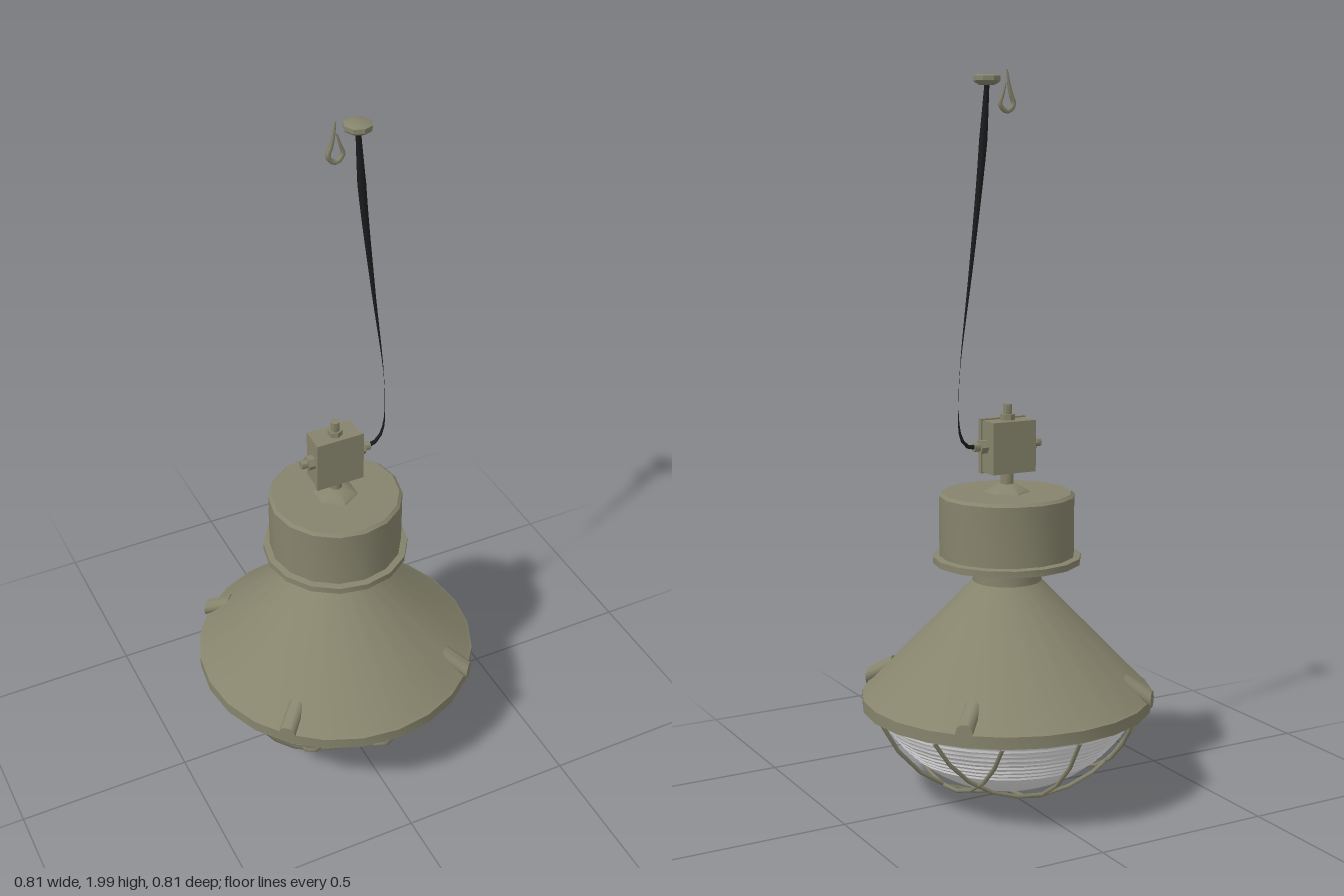
import * as THREE from 'three';
import { toCreasedNormals } from 'three/addons/utils/BufferGeometryUtils.js';

const V3 = (x, y, z) => new THREE.Vector3(x, y, z);

export function createModel() {
  const lamp = new THREE.Group();
  lamp.name = 'industrialPendantLamp';

  const mat = (name, color) => {
    const m = new THREE.MeshStandardMaterial({ color });
    m.name = name;
    return m;
  };
  const olive = mat('olivePaint', 0x86846c);
  const glass = mat('paleGlass', 0xe8e8e9);
  const black = mat('blackCable', 0x1c1c1e);

  const add = (name, geometry, material = olive, parent = lamp) => {
    const mesh = new THREE.Mesh(geometry, material);
    mesh.name = name;
    parent.add(mesh);
    return mesh;
  };
  // Turned part: profile of [radius, y] running from the bottom up
  const turned = (name, profile, sides, material = olive) =>
    add(name, toCreasedNormals(new THREE.LatheGeometry(
      profile.map(([r, y]) => new THREE.Vector2(r, y)), sides), 0.6), material);
  // Cylinder between two points
  const rod = (name, a, b, r, sides, parent = lamp) => {
    const dir = b.clone().sub(a);
    const geo = toCreasedNormals(new THREE.CylinderGeometry(r, r, dir.length(), sides), 0.9);
    const mesh = add(name, geo, olive, parent);
    mesh.position.copy(a).add(b).multiplyScalar(0.5);
    mesh.quaternion.setFromUnitVectors(V3(0, 1, 0), dir.normalize());
  };
  // Tube whose radius follows a rule along its length
  const taperedTube = (path, rings, sides, radiusAt) => {
    const tube = new THREE.TubeGeometry(path, rings, 1, sides);
    const pos = tube.attributes.position;
    const v = new THREE.Vector3();
    for (let i = 0; i < pos.count; i++) {
      const t = Math.floor(i / (sides + 1)) / rings;
      const c = path.getPointAt(t);
      v.fromBufferAttribute(pos, i).sub(c).multiplyScalar(radiusAt(t)).add(c);
      pos.setXYZ(i, v.x, v.y, v.z);
    }
    return tube;
  };

  // Conical shade with rim and neck
  turned('shade', [
    [0.36, 0.29], [0.372, 0.27], [0.405, 0.27], [0.405, 0.303], [0.396, 0.308],
    [0.095, 0.62], [0.095, 0.675],
  ], 24);

  // Ballast housing with stepped flange below
  turned('housing', [
    [0.08, 0.69], [0.115, 0.69], [0.115, 0.68], [0.145, 0.68], [0.145, 0.69],
    [0.172, 0.69], [0.172, 0.672], [0.205, 0.672], [0.205, 0.69], [0.187, 0.693],
    [0.187, 0.858], [0.178, 0.866], [0, 0.866],
  ], 16);
  turned('housingBoss', [[0.065, 0.864], [0.06, 0.87], [0.024, 0.89], [0, 0.89]], 6);
  rod('stem', V3(0, 0.88, 0), V3(0, 0.925, 0), 0.019, 8);

  // Four rounded clips over the rim, sheared to follow the slope
  const clipShape = new THREE.CylinderGeometry(0.024, 0.024, 0.075, 10);
  clipShape.rotateZ(Math.PI / 2);
  clipShape.applyMatrix4(new THREE.Matrix4().makeShear(-0.55, 0, 0, 0, 0, 0));
  clipShape.translate(0.374, 0.331, 0);
  const clipGeometry = toCreasedNormals(clipShape, 0.9);
  for (let i = 0; i < 4; i++) {
    add('rimClip', clipGeometry).rotation.y = Math.PI / 4 + i * Math.PI / 2;
  }

  // Glass bowl: a spherical cap with fine ribs on its upper half
  const cy = 0.4325, R = 0.4;
  const bowl = [];
  for (let i = 0; i <= 6; i++) {
    const y = cy - R + 0.0975 * (i / 6) ** 2;
    bowl.push([Math.sqrt(Math.max(0, R * R - (cy - y) ** 2)), y]);
  }
  for (let i = 0; i < 10; i++) {
    const y = 0.134 + i * 0.0148;
    const r = Math.sqrt(R * R - (cy - y) ** 2);
    bowl.push([r, y], [r + 0.005, y + 0.004], [r + 0.006, y + 0.01]);
  }
  turned('glassBowl', bowl, 32, glass);

  // Guard cage: three bars each way, bent over a slightly larger sphere
  const cage = new THREE.Group();
  cage.name = 'guardCage';
  lamp.add(cage);
  const RC = 0.421, rimRadius = 0.386;
  for (const offset of [-0.2, 0, 0.2]) {
    const half = Math.sqrt(rimRadius ** 2 - offset ** 2);
    for (const along of ['x', 'z']) {
      const pts = [];
      for (let i = 0; i <= 8; i++) {
        const u = half * Math.sin((i / 4 - 1) * Math.PI / 2);
        const y = cy - Math.sqrt(RC * RC - offset * offset - u * u);
        pts.push(along === 'x' ? V3(u, y, offset) : V3(offset, y, u));
      }
      add('cageBar', new THREE.TubeGeometry(
        new THREE.CatmullRomCurve3(pts), 10, 0.006, 5), olive, cage);
    }
  }

  // Junction box with cover and glands
  const box = new THREE.Group();
  box.name = 'junctionBox';
  lamp.add(box);
  add('boxBody', new THREE.BoxGeometry(0.132, 0.142, 0.066), olive, box).position.set(0, 0.995, -0.01);
  add('boxCover', new THREE.BoxGeometry(0.14, 0.15, 0.014), olive, box).position.set(0, 0.995, 0.026);
  for (const s of [-1, 1]) {
    rod('glandNut', V3(s * 0.06, 0.997, 0), V3(s * 0.086, 0.997, 0), 0.02, 6, box);
    rod('glandTip', V3(s * 0.08, 0.997, 0), V3(s * 0.104, 0.997, 0), 0.012, 8, box);
  }
  rod('topNut', V3(0, 1.06, -0.003), V3(0, 1.082, -0.003), 0.02, 6, box);
  rod('topPin', V3(0, 1.08, -0.003), V3(0, 1.11, -0.003), 0.013, 8, box);

  // Hanging cable, very thin in its slack middle and thicker towards the top
  const cablePath = new THREE.CatmullRomCurve3([
    V3(0.098, 0.997, 0), V3(0.13, 1.005, -0.004), V3(0.15, 1.04, -0.009),
    V3(0.154, 1.12, -0.01), V3(0.148, 1.22, -0.009), V3(0.11, 1.5, -0.005),
    V3(0.075, 1.78, 0), V3(0.06, 1.965, 0),
  ]);
  add('cable', taperedTube(cablePath, 40, 6, (t) => {
    if (t < 0.13) return 0.007 - 0.05 * t;
    if (t < 0.85) return 0.0004 + 0.0106 * Math.max(0, (t - 0.25) / 0.6);
    return 0.011 - 0.03 * (t - 0.85);
  }), black);

  // Ceiling rose
  const rose = turned('ceilingRose', [
    [0, 1.957], [0.02, 1.957], [0.034, 1.964], [0.037, 1.968], [0.037, 1.98], [0.03, 1.984], [0, 1.984],
  ], 8);
  rose.position.x = 0.06;

  // Teardrop ceiling hook, thickest around its eye
  const hookPath = new THREE.CatmullRomCurve3([
    V3(0, 1.998, 0), V3(-0.006, 1.96, 0), V3(-0.012, 1.935, 0), V3(-0.02, 1.907, 0),
    V3(0, 1.89, 0), V3(0.02, 1.907, 0), V3(0.012, 1.935, 0), V3(0.003, 1.965, 0),
  ]);
  add('ceilingHook', taperedTube(hookPath, 28, 6, (t) => 0.002 + 0.005 * Math.sin(Math.PI * t)));

  return lamp;
}
